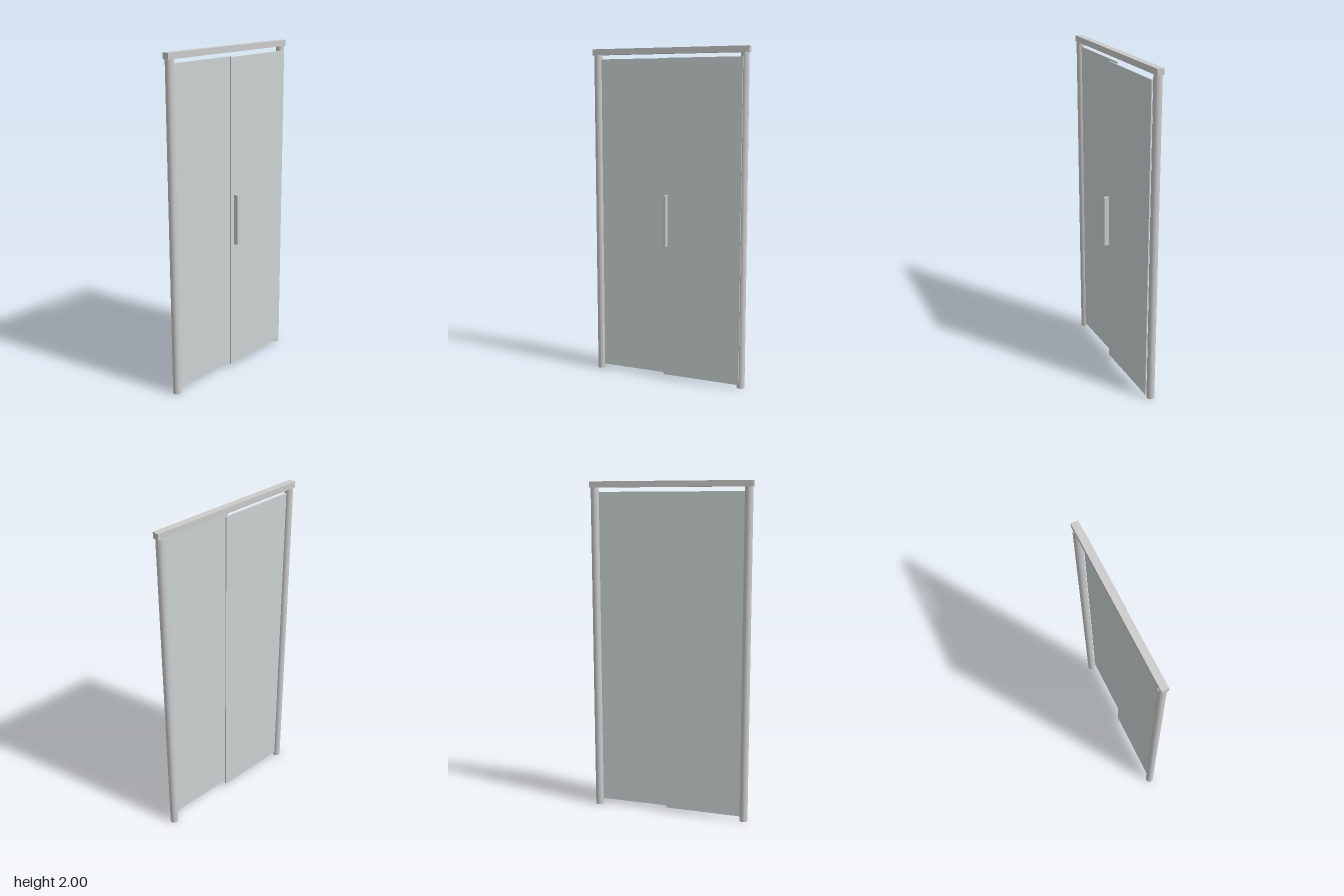
import * as THREE from 'three';

const metal = new THREE.MeshStandardMaterial({ color: 0xcccccc });
const glass = new THREE.MeshStandardMaterial({ color: 0xccd4d4 });

const FRAME_Z = -0.027; // centre plane of posts, rail and fixed panel

export function createModel() {
  const model = new THREE.Group();
  model.name = 'slidingDoor';

  // Box given by its extents along each axis
  const box = (name, [x0, x1], [y0, y1], [z0, z1], material) => {
    const mesh = new THREE.Mesh(new THREE.BoxGeometry(x1 - x0, y1 - y0, z1 - z0), material);
    mesh.position.set((x0 + x1) / 2, (y0 + y1) / 2, (z0 + z1) / 2);
    mesh.name = name;
    model.add(mesh);
  };

  // Round posts
  const postGeometry = new THREE.CylinderGeometry(0.024, 0.024, 1.965, 32);
  for (const [name, side] of [['leftPost', 1], ['rightPost', -1]]) {
    const post = new THREE.Mesh(postGeometry, metal);
    post.position.set(side * 0.466, 1.965 / 2, FRAME_Z);
    post.name = name;
    model.add(post);
  }

  // Top rail
  box('topRail', [-0.494, 0.494], [1.965, 2], [FRAME_Z - 0.02, FRAME_Z + 0.02], metal);

  // Fixed panel between the posts, sliding panel in front of it
  const panelY = [0.025, 1.94];
  box('fixedPanel', [-0.463, 0.02], panelY, [FRAME_Z - 0.004, FRAME_Z + 0.004], glass);
  box('slidingPanel', [-0.02, 0.463], panelY, [0, 0.008], glass);

  // Handle bar standing off the sliding panel
  box('handle', [-0.01, 0.01], [0.83, 1.14], [0.021, 0.051], metal);

  return model;
}
